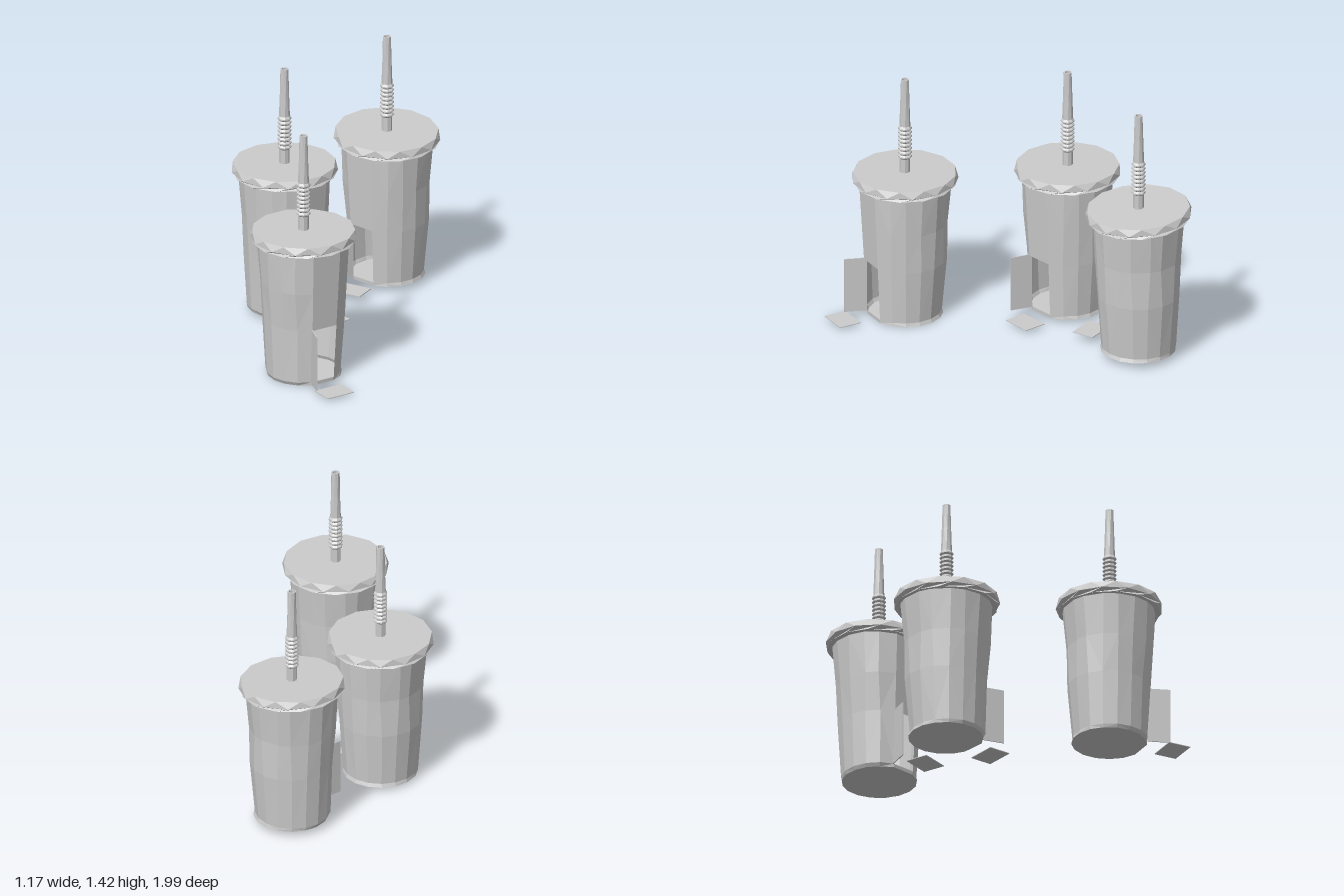
import * as THREE from 'three';

const mat = new THREE.MeshStandardMaterial({ color: 0xcccccc, flatShading: true, side: THREE.DoubleSide });

function part(name, geometry, parent) {
  const mesh = new THREE.Mesh(geometry, mat);
  mesh.name = name;
  parent.add(mesh);
  return mesh;
}

// Repeatable small irregularity, -1..1
const wobble = (i, j, seed) => Math.sin(i * 12.9 + j * 78.2 + seed * 37.7);

// Tapered hollow wall and floor; the first column is the doorway facing +z
function cupGeometry(seed) {
  const half = 0.35, sides = 15;
  const levels = [0, 0.02, 0.33, 0.55, 0.79];
  const angles = [-half];
  for (let i = 0; i < sides; i++) angles.push(half + (i * (Math.PI * 2 - 2 * half)) / sides);
  const n = angles.length;
  const pos = [], idx = [];
  levels.forEach((y, j) => angles.forEach((a, i) => {
    const r = 0.205 + (0.047 * y) / 0.79 + (i > 1 ? 0.005 * wobble(i, j, seed) : 0);
    const b = a + (i > 1 && j > 2 ? 0.05 * wobble(j, i, seed) : 0);
    pos.push(Math.sin(b) * r, y, Math.cos(b) * r);
  }));
  const floor = pos.length / 3;
  pos.push(0, 0, 0);
  for (let i = 0; i < n; i++) {
    const k = (i + 1) % n;
    idx.push(floor, k, i);
    for (let j = 0; j < levels.length - 1; j++) {
      if (i === 0 && j === 1) continue; // doorway
      const a = j * n + i, b = j * n + k, c = a + n, d = b + n;
      if ((i + j) % 2) idx.push(a, b, d, a, d, c);
      else idx.push(a, b, c, b, d, c);
    }
  }
  const g = new THREE.BufferGeometry();
  g.setAttribute('position', new THREE.Float32BufferAttribute(pos, 3));
  g.setIndex(idx);
  g.computeVertexNormals();
  return g;
}

// Faceted lid: the middle ring is turned half a step to give a zigzag rim
function lidGeometry() {
  const sides = 13;
  const g = new THREE.CylinderGeometry(0.282, 0.28, 0.06, sides, 2);
  const p = g.attributes.position;
  for (let i = 0; i < p.count; i++) {
    if (Math.abs(p.getY(i)) > 0.01) continue;
    const a = Math.atan2(p.getX(i), p.getZ(i)) + Math.PI / sides;
    p.setXYZ(i, Math.sin(a) * 0.292, -0.008, Math.cos(a) * 0.292);
  }
  g.computeVertexNormals();
  return g;
}

// Hollow straw with a ribbed bend section and a slightly twisted, narrowing top
function strawGeometry() {
  const pts = [[0.029, 0.79], [0.029, 0.915]];
  const ribs = 8, pitch = 0.024;
  for (let i = 0; i < ribs; i++) {
    const y = 0.92 + i * pitch;
    pts.push([0.029, y], [0.038, y + pitch * 0.35], [0.038, y + pitch * 0.65]);
  }
  pts.push([0.03, 1.115], [0.026, 1.25], [0.023, 1.39], [0.016, 1.39], [0.016, 1.1]);
  const g = new THREE.LatheGeometry(pts.map(([r, y]) => new THREE.Vector2(r, y)), 8);
  const p = g.attributes.position;
  for (let i = 0; i < p.count; i++) {
    const t = Math.max(0, p.getY(i) - 1.12) * 1.5;
    const x = p.getX(i), z = p.getZ(i);
    p.setX(i, x * Math.cos(t) + z * Math.sin(t));
    p.setZ(i, z * Math.cos(t) - x * Math.sin(t));
  }
  g.computeVertexNormals();
  return g;
}

function makeCup({ at, turn, tilt }, seed) {
  const cup = new THREE.Group();
  cup.name = 'cupHouse';
  cup.position.set(...at);

  const body = new THREE.Group();
  body.name = 'body';
  body.rotation.y = turn;
  cup.add(body);
  part('cupWall', cupGeometry(seed), body);

  // Door swung outwards on its hinge
  const hinge = new THREE.Group();
  hinge.name = 'doorHinge';
  hinge.position.set(-0.074, 0.178, 0.195);
  hinge.rotation.y = -1.9;
  body.add(hinge);
  part('door', new THREE.BoxGeometry(0.125, 0.315, 0.006).translate(0.0625, 0, 0), hinge);

  const lid = part('lid', lidGeometry(), cup);
  lid.position.y = 0.81;
  lid.rotation.set(tilt, turn, 0);
  lid.rotation.order = 'XYZ';
  lid.rotation.z = -tilt;

  part('straw', strawGeometry(), cup);
  return cup;
}

export function createModel() {
  const model = new THREE.Group();
  model.name = 'cupHouses';

  const cups = [
    { at: [-0.27, 0, 0.55], turn: 0.49, tilt: 0, mat: [-0.13, 0.018, 0.89], matTurn: 0.5 },
    { at: [-0.3, 0.022, -0.335], turn: 0.72, tilt: 0, mat: [-0.068, 0.022, -0.1], matTurn: 0.67 },
    { at: [0.29, 0.035, -0.71], turn: -0.8, tilt: 0.03, mat: [0.077, 0.045, -0.455], matTurn: -0.59 },
  ];

  cups.forEach((c, i) => {
    model.add(makeCup(c, i + 1));
    // Doormat lying in front of each doorway
    const rug = part('doormat', new THREE.BoxGeometry(0.17, 0.004, 0.13), model);
    rug.position.set(...c.mat);
    rug.rotation.y = c.matTurn;
  });
  return model;
}
